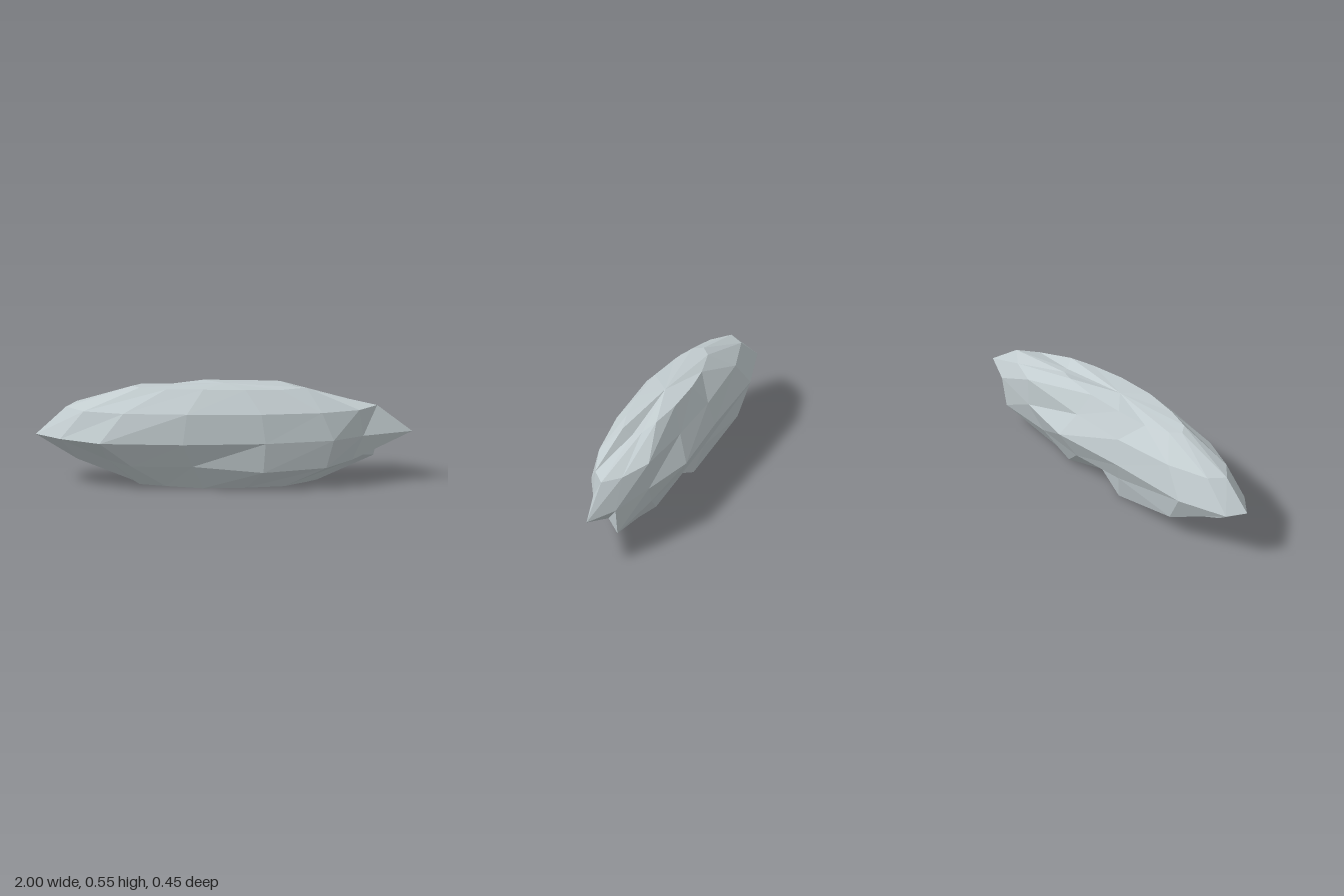
import * as THREE from 'three';

const SIDES = 14;
const RADIUS = { x: 1, y: 0.31, z: 0.228 };
const CENTRE_Y = 0.275;

// How far each corner bulges or sinks, ring by ring from top to bottom,
// starting at +x and turning towards +z
const BULGE = [
  [0.83, 0.97, 0.97, 1.0, 1.02, 1.0, 1.0, 0.98, 0.97, 0.92, 0.97, 0.96, 0.96, 0.87],
  [0.94, 0.92, 0.96, 1.01, 1.05, 1.0, 0.96, 0.97, 1.0, 1.02, 0.89, 0.84, 1.02, 0.92],
  [1.0, 0.82, 0.93, 0.97, 1.01, 1.07, 0.97, 1.0, 1.05, 1.07, 0.9, 1.03, 0.88, 0.92],
  [0.83, 0.87, 1.0, 1.06, 0.89, 0.92, 0.8, 0.9, 0.67, 1.05, 0.8, 0.85, 0.85, 1.02],
  [0.99, 0.98, 1.02, 1.02, 1.03, 1.0, 1.0, 0.97, 0.96, 0.74, 1.02, 0.7, 0.98, 0.98],
];

function createRockGeometry() {
  const rows = BULGE.length;
  const positions = [0, 0.55, 0];
  const index = [];

  // Flattened ellipsoid rings, never sinking below the ground
  BULGE.forEach((ring, row) => {
    const polar = ((row + 1) / (rows + 1)) * Math.PI;
    ring.forEach((s, k) => {
      const a = (k / SIDES) * Math.PI * 2;
      const r = Math.sin(polar) * s;
      const y = Math.max(0, CENTRE_Y + RADIUS.y * Math.cos(polar) * s);
      positions.push(RADIUS.x * r * Math.cos(a), y, RADIUS.z * r * Math.sin(a));
    });
  });
  const bottom = positions.length / 3;
  positions.push(0, 0.03, 0);

  // Caps and side bands
  const at = (row, k) => 1 + row * SIDES + (k % SIDES);
  for (let k = 0; k < SIDES; k++) {
    index.push(0, at(0, k + 1), at(0, k));
    for (let row = 0; row < rows - 1; row++) {
      index.push(at(row, k), at(row, k + 1), at(row + 1, k + 1));
      index.push(at(row, k), at(row + 1, k + 1), at(row + 1, k));
    }
    index.push(bottom, at(rows - 1, k), at(rows - 1, k + 1));
  }

  const indexed = new THREE.BufferGeometry();
  indexed.setAttribute('position', new THREE.Float32BufferAttribute(positions, 3));
  indexed.setIndex(index);
  const geometry = indexed.toNonIndexed();
  geometry.computeVertexNormals();
  return geometry;
}

export function createModel() {
  const stone = new THREE.MeshStandardMaterial({ color: 0xc3cdd0, flatShading: true });
  stone.name = 'pale grey stone';

  const rock = new THREE.Mesh(createRockGeometry(), stone);
  rock.name = 'rock';

  const group = new THREE.Group();
  group.name = 'flatRock';
  group.add(rock);
  return group;
}
